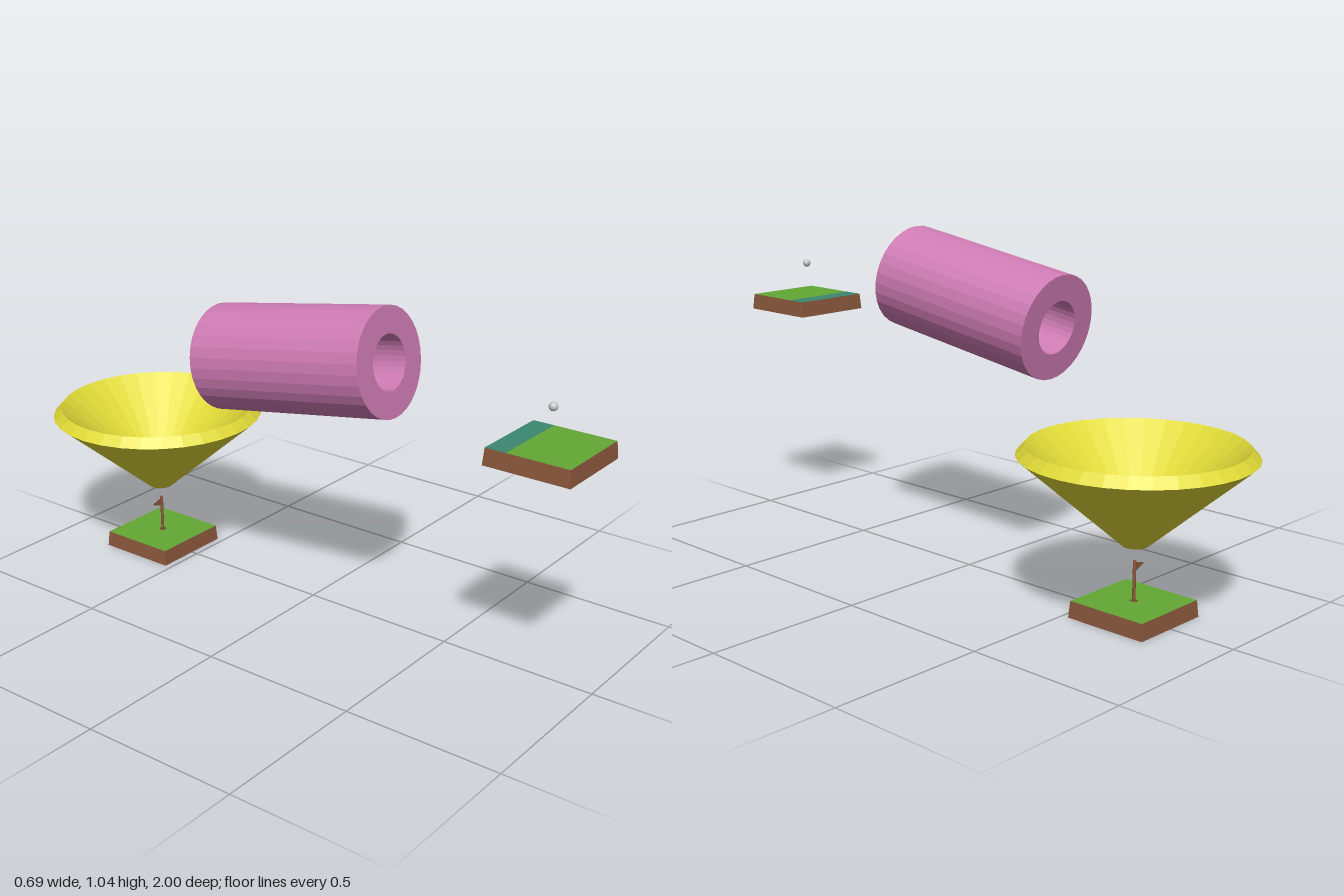
import * as THREE from 'three';

const mat = (name, color, extra = {}) => {
  const m = new THREE.MeshStandardMaterial({ color, ...extra });
  m.name = name;
  return m;
};

// Faceted normals
function flat(geometry) {
  const g = geometry.index ? geometry.toNonIndexed() : geometry;
  g.computeVertexNormals();
  return g;
}

const lathe = (points, sides) =>
  flat(new THREE.LatheGeometry(points.map(([r, y]) => new THREE.Vector2(r, y)), sides));

export function createModel() {
  const model = new THREE.Group();
  const yellow = mat('funnel yellow', 0xe0da38);
  const pink = mat('tube pink', 0xce7bb3);
  const brown = mat('earth brown', 0x8c593d);
  const brownThin = mat('flag brown', 0x8c593d, { side: THREE.DoubleSide });
  const green = mat('grass green', 0x62a834);
  const teal = mat('tee teal', 0x3b876f);
  const grey = mat('ball grey', 0xc4c4c4);

  const add = (parent, name, geometry, material, x = 0, y = 0, z = 0) => {
    const mesh = new THREE.Mesh(geometry, material);
    mesh.name = name;
    mesh.position.set(x, y, z);
    parent.add(mesh);
    return mesh;
  };

  // Square slab of earth, slightly narrower at the top, without its top face
  const H = 0.051, TOP = 0.129, BASE = 0.133;
  function platform(name, x, y, z) {
    const group = new THREE.Group();
    group.name = name;
    group.position.set(x, y, z);
    const sides = new THREE.CylinderGeometry(TOP * Math.SQRT2, BASE * Math.SQRT2, H, 4, 1, true);
    add(group, 'earthSides', flat(sides.rotateY(Math.PI / 4)), brown, 0, H / 2, 0);
    add(group, 'earthBottom', new THREE.PlaneGeometry(2 * BASE, 2 * BASE).rotateX(Math.PI / 2), brown);
    model.add(group);
    return group;
  }

  // Starting platform: grass, coloured strip at the back, ball hovering above
  const start = platform('startPlatform', -0.085, 0.709, 0.867);
  const strip = 0.065;
  add(start, 'grass', new THREE.PlaneGeometry(2 * TOP, 2 * TOP - strip).rotateX(-Math.PI / 2), green, 0, H, strip / 2);
  add(start, 'teeStrip', new THREE.PlaneGeometry(2 * TOP, strip).rotateX(-Math.PI / 2), teal, 0, H, strip / 2 - TOP);
  add(model, 'ball', new THREE.SphereGeometry(0.013, 16, 12), grey, -0.087, 0.868, 0.867);

  // Goal platform: grass with a cup cut out around the flagpole
  const CZ = -0.655, CUP = 0.012;
  const goal = platform('goalPlatform', 0, 0, CZ);
  const lawn = new THREE.Shape([[-TOP, -TOP], [TOP, -TOP], [TOP, TOP], [-TOP, TOP]].map(p => new THREE.Vector2(...p)));
  lawn.holes.push(new THREE.Path().absarc(0, 0, CUP, 0, Math.PI * 2, true));
  add(goal, 'grass', new THREE.ShapeGeometry(lawn, 12).rotateX(-Math.PI / 2), green, 0, H, 0);
  add(goal, 'cup', lathe([[CUP, H], [CUP, 0.025], [0, 0.025]], 16), brown);
  add(goal, 'flagpole', new THREE.CylinderGeometry(0.005, 0.005, 0.147, 10), brown, 0, 0.0985, 0);
  const pennant = new THREE.Shape([[0, 0.168], [-0.046, 0.155], [0, 0.136]].map(p => new THREE.Vector2(...p)));
  add(goal, 'flag', new THREE.ShapeGeometry(pennant), brownThin);

  // Funnel: outer cone, bevelled rim, inner cone and narrow outlet
  add(model, 'funnel', lathe([
    [0.038, 0.218], [0.345, 0.483], [0.318, 0.513], [0.012, 0.245], [0.038, 0.218],
  ], 32), yellow, 0, 0, CZ);

  // Hollow tube tilted down towards the funnel
  const front = new THREE.Vector3(-0.083, 0.88, 0.337);
  const back = new THREE.Vector3(-0.101, 0.783, -0.265);
  const axis = front.clone().sub(back);
  const half = axis.length() / 2;
  const tube = add(model, 'tube', lathe([
    [0.164, -half], [0.164, half], [0.083, half], [0.083, -half], [0.164, -half],
  ], 32), pink);
  tube.position.copy(front).add(back).multiplyScalar(0.5);
  tube.quaternion.setFromUnitVectors(new THREE.Vector3(0, 1, 0), axis.normalize());

  return model;
}
